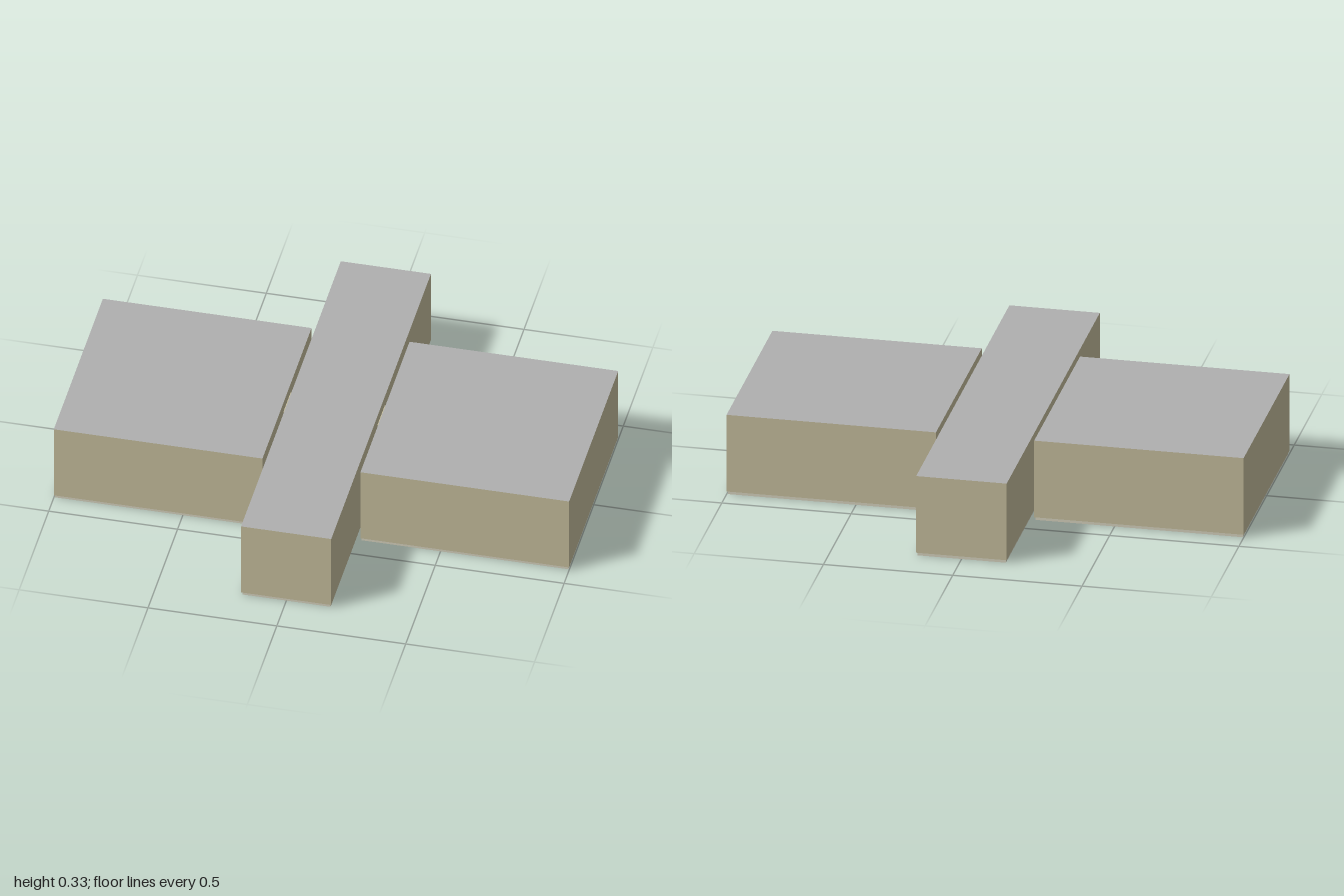
import * as THREE from 'three';

const mat = (color) => new THREE.MeshStandardMaterial({ color });

export function createModel() {
  const model = new THREE.Group();
  const wall = mat(0xc8c09f), roof = mat(0xb0b0b0), plinth = mat(0xd8d4c0), under = mat(0x0e0b1c);

  // Box from y0 to y1; faces ordered +x -x +y -y +z -z
  function block(name, parent, w, d, y0, y1, side, top, bottom) {
    const mesh = new THREE.Mesh(
      new THREE.BoxGeometry(w, y1 - y0, d),
      [side, side, top, bottom, side, side]
    );
    mesh.name = name;
    mesh.position.y = (y0 + y1) / 2;
    parent.add(mesh);
  }

  // Flat-roofed volume standing on a slightly recessed plinth
  function building(name, x, w, d, height, top) {
    const group = new THREE.Group();
    group.name = name;
    group.position.x = x;
    block('walls', group, w, d, 0.012, height, wall, top, wall);
    block('plinth', group, w - 0.008, d - 0.008, 0, 0.012, plinth, plinth, under);
    model.add(group);
  }

  // Long central hall
  building('centralHall', 0, 0.35, 1.686, 0.327, roof);

  // Side wings and the short links joining them to the hall
  for (const [label, s] of [['left', 1], ['right', -1]]) {
    building(label + 'Wing', s * 0.595, 0.81, 0.83, 0.327, roof);
    building(label + 'Link', s * 0.1825, 0.031, 0.122, 0.285, wall);
  }
  return model;
}
